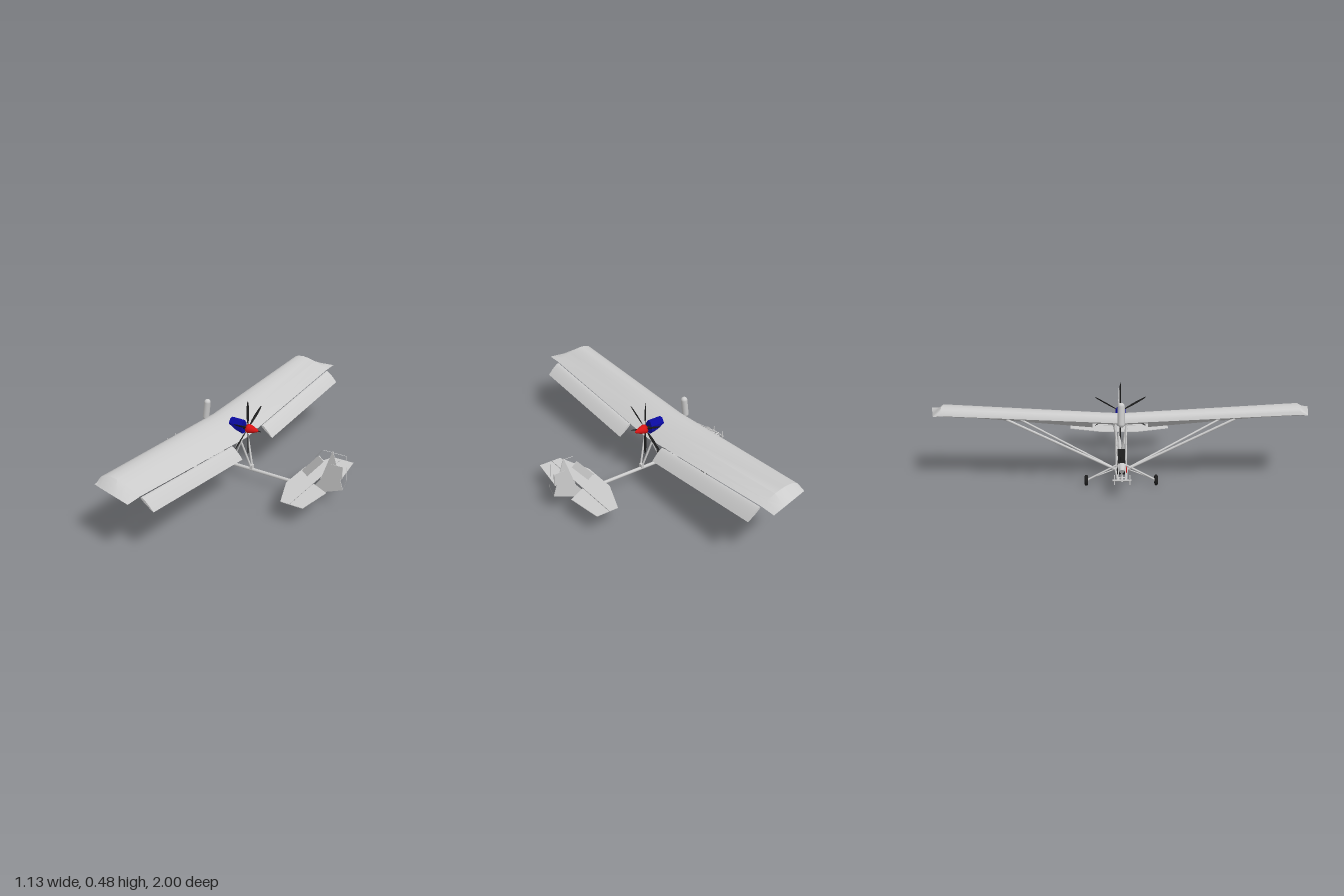
import * as THREE from 'three';
import { toCreasedNormals } from 'three/addons/utils/BufferGeometryUtils.js';

const V = (x, y, z) => new THREE.Vector3(x, y, z);
const mat = (color, side = THREE.FrontSide) => new THREE.MeshStandardMaterial({ color, side });

export function createModel() {
  const model = new THREE.Group();
  const grey = mat(0xcccccc), sheet = mat(0xcccccc, THREE.DoubleSide);
  const black = mat(0x1c1c1c), red = mat(0xd81414), blue = mat(0x0a0aa0);

  const add = (name, geo, material = grey, x = 0, y = 0, z = 0, parent = model) => {
    const m = new THREE.Mesh(geo, material);
    m.name = name;
    m.position.set(x, y, z);
    parent.add(m);
    return m;
  };
  const box = (w, h, d) => new THREE.BoxGeometry(w, h, d);
  // straight tube between two points
  const rod = (name, a, b, r, material = grey, parent = model) => {
    const m = add(name, new THREE.CylinderGeometry(r, r, a.distanceTo(b), 10), material, 0, 0, 0, parent);
    m.position.copy(a).add(b).multiplyScalar(0.5);
    m.quaternion.setFromUnitVectors(V(0, 1, 0), b.clone().sub(a).normalize());
    return m;
  };

  // airfoil skin through stations: leading edge, trailing edge, bulge above and below
  const us = [1, 0.85, 0.65, 0.45, 0.3, 0.17, 0.08, 0.025, 0];
  const bulge = u => 2.6 * Math.sqrt(u) * (1 - u);
  const airfoil = (name, stations) => {
    const ring = [...us.map(u => [u, 1]), ...us.slice(0, -1).reverse().map(u => [u, -1])];
    const pos = [], idx = [], n = ring.length;
    stations.forEach(({ le, te, top, bot }, j) => {
      ring.forEach(([u, s], i) => {
        const p = V(...le).lerp(V(...te), u);
        pos.push(p.x, p.y + bulge(u) * (s > 0 ? top : -bot), p.z);
        if (j && i < n - 1) {
          const a = (j - 1) * n + i, c = a + n;
          idx.push(a, a + 1, c, a + 1, c + 1, c);
        }
      });
    });
    const g = new THREE.BufferGeometry();
    g.setAttribute('position', new THREE.Float32BufferAttribute(pos, 3));
    g.setIndex(idx);
    return add(name, toCreasedNormals(g, 0.6), sheet);
  };
  const station = (z, le, te, top, bot, zTe = z) => ({ le: [...le, z], te: [...te, zTe], top, bot });

  // main wing with raked tips
  const tip = s => station(s * 0.947, [-0.285, 0.355], [-0.045, 0.345], 0.001, 0.001, s * 0.998);
  const outer = s => station(s * 0.91, [-0.285, 0.36], [-0.045, 0.345], 0.044, 0.008);
  airfoil('wing', [tip(-1), outer(-1), station(0, [-0.285, 0.318], [-0.045, 0.265], 0.052, 0.01), outer(1), tip(1)]);

  // drooped flaps behind the wing
  for (const s of [-1, 1]) {
    const root = t => station(s * 0.15, [-0.047, 0.272], [0.022, 0.215], t, t * 0.4);
    const end = t => station(s * 0.905, [-0.047, 0.335], [0.025, 0.28], t, t * 0.4);
    const list = [root(0), root(0.012), end(0.012), end(0)];
    airfoil('flap', s > 0 ? list : list.reverse());
  }

  // engine, spinner and six-blade propeller
  const engine = add('engine', new THREE.CylinderGeometry(0.036, 0.036, 0.08, 8), blue, -0.105, 0.322, 0);
  engine.geometry.rotateY(Math.PI / 8).rotateZ(Math.PI / 2).scale(1, 1.1, 0.78);
  engine.material.flatShading = true;
  const spinner = add('spinner', new THREE.LatheGeometry(
    [[0, 0], [0.024, 0], [0.025, 0.012], [0.018, 0.038], [0.008, 0.062], [0, 0.072]].map(p => new THREE.Vector2(...p)), 20), red, -0.043, 0.32, 0);
  spinner.rotation.z = -Math.PI / 2;
  rod('propellerShaft', V(-0.07, 0.32, 0), V(-0.04, 0.32, 0), 0.01, black);
  const prop = new THREE.Group();
  prop.name = 'propeller';
  prop.position.set(-0.04, 0.32, 0);
  model.add(prop);
  for (let i = 0; i < 6; i++) {
    const pivot = new THREE.Group();
    pivot.rotation.x = i * Math.PI / 3;
    prop.add(pivot);
    const blade = new THREE.SphereGeometry(1, 10, 10).scale(0.007, 0.068, 0.0025);
    add('blade', blade, black, 0, 0.09, 0, pivot).rotation.y = 0.6;
  }

  // streamlined tank ahead of the leading edge
  add('tank', new THREE.CapsuleGeometry(0.018, 0.09, 6, 16), grey, -0.307, 0.367, 0).rotation.z = -0.13;

  // tail boom and nose frame
  rod('tailBoom', V(-0.32, 0.078, 0), V(0.36, 0.078, 0), 0.0095);
  rod('keel', V(-0.565, 0.108, 0), V(-0.3, 0.08, 0), 0.006);
  for (const s of [-1, 1]) {
    rod('sideRail', V(-0.55, 0.108, s * 0.02), V(-0.3, 0.082, s * 0.03), 0.005);
    rod('rearRail', V(-0.3, 0.08, s * 0.03), V(-0.13, 0.082, s * 0.012), 0.004);
    rod('footPeg', V(-0.56, 0.085, s * 0.037), V(-0.56, 0.135, s * 0.037), 0.003);
    rod('noseCable', V(-0.56, 0.112, s * 0.015), V(-0.28, 0.312, s * 0.03), 0.002);
  }
  rod('rudderBar', V(-0.56, 0.108, -0.045), V(-0.56, 0.108, 0.045), 0.004);
  for (const x of [-0.48, -0.33, -0.2]) rod('crossTube', V(x, 0.095, -0.028), V(x, 0.095, 0.028), 0.004);

  // instrument pod, control sticks and seats
  const pod = add('instrumentPod', new THREE.CylinderGeometry(0.024, 0.012, 0.035, 14), grey, -0.493, 0.145, 0);
  pod.rotation.z = -1.05;
  rod('podPost', V(-0.49, 0.098, 0), V(-0.493, 0.14, 0), 0.003);
  rod('frontStick', V(-0.46, 0.1, 0), V(-0.453, 0.16, 0), 0.002, black);
  rod('throttle', V(-0.41, 0.097, 0.025), V(-0.405, 0.132, 0.025), 0.002, red);
  rod('rearStick', V(-0.29, 0.085, 0), V(-0.285, 0.14, 0), 0.002, black);
  for (const [x, y] of [[-0.405, 0.098], [-0.185, 0.092]]) {
    const seat = new THREE.Group();
    seat.name = 'seat';
    seat.position.set(x, y, 0);
    model.add(seat);
    add('seatBase', box(0.05, 0.009, 0.046), black, 0, 0, 0, seat).rotation.z = -0.1;
    add('seatBack', box(0.009, 0.058, 0.046), black, 0.036, 0.021, 0, seat).rotation.z = -0.62;
  }

  // wing struts, cabane and engine supports
  for (const s of [-1, 1]) {
    rod('frontWingStrut', V(-0.312, 0.085, s * 0.03), V(-0.265, 0.335, s * 0.58), 0.0065);
    rod('rearWingStrut', V(-0.305, 0.085, s * 0.03), V(-0.07, 0.312, s * 0.58), 0.0055);
    rod('frontCabane', V(-0.31, 0.085, s * 0.025), V(-0.265, 0.31, s * 0.025), 0.005);
    rod('seatBrace', V(-0.15, 0.085, s * 0.012), V(-0.07, 0.28, s * 0.03), 0.003);
    rod('armRail', V(-0.288, 0.192, s * 0.026), V(-0.2, 0.18, s * 0.026), 0.002);
    rod('engineSupport', V(-0.018, 0.1, s * 0.008), V(-0.07, 0.28, s * 0.04), 0.0055);
  }
  add('supportBracket', box(0.016, 0.022, 0.022), grey, -0.016, 0.094, 0);

  // main wheels on splayed legs, small tail wheel
  const wheel = (name, x, y, z, r, w) => {
    const g = new THREE.Group();
    g.name = name;
    g.position.set(x, y, z);
    model.add(g);
    add('tyre', new THREE.TorusGeometry(r - w / 2, w / 2, 10, 24), black, 0, 0, 0, g);
    add('rim', new THREE.CylinderGeometry(r * 0.55, r * 0.55, w * 0.5, 16).rotateX(Math.PI / 2), black, 0, 0, 0, g);
    add('hub', new THREE.CylinderGeometry(r * 0.28, r * 0.28, w * 1.1, 12).rotateX(Math.PI / 2), grey, 0, 0, 0, g);
  };
  for (const s of [-1, 1]) {
    wheel('mainWheel', -0.318, 0.028, s * 0.178, 0.028, 0.018);
    rod('gearLeg', V(-0.31, 0.105, s * 0.025), V(-0.318, 0.03, s * 0.172), 0.005);
    rod('gearBrace', V(-0.27, 0.08, s * 0.01), V(-0.318, 0.035, s * 0.165), 0.003);
    rod('tailFork', V(0.342, 0.072, s * 0.006), V(0.36, 0.036, s * 0.009), 0.003);
  }
  wheel('tailWheel', 0.36, 0.035, 0, 0.015, 0.011);

  // flat tail surfaces
  const plate = (name, pts, depth) => add(name, new THREE.ExtrudeGeometry(
    new THREE.Shape(pts.map(p => new THREE.Vector2(...p))), { depth, bevelEnabled: false }).translate(0, 0, -depth / 2), sheet);
  for (const s of [-1, 1]) {
    const halves = {
      stabilizer: [[0.26, 0], [0.26, 0.1], [0.333, 0.283], [0.384, 0.283], [0.384, 0]],
      elevator: [[0.387, 0.035], [0.387, 0.283], [0.46, 0.283], [0.488, 0.085]],
    };
    for (const [name, pts] of Object.entries(halves)) {
      const m = plate(name, pts.map(([x, z]) => [x, s * z]), 0.003);
      m.rotation.x = Math.PI / 2;
      m.position.y = 0.123;
    }
  }
  plate('rudder', [[0.473, 0.325], [0.54, 0.115], [0.39, 0.055], [0.363, 0.08], [0.402, 0.13], [0.41, 0.143]], 0.004);
  plate('finPanel', [[0.298, 0.163], [0.394, 0.277], [0.425, 0.25], [0.331, 0.136]], 0.005);
  plate('rudderPanel', [[0.461, 0.178], [0.533, 0.178], [0.533, 0.248], [0.461, 0.248]], 0.007);

  // thin edge band around the fin
  const edge = [[0.27, 0.125], [0.415, 0.315], [0.55, 0.315], [0.56, 0.18], [0.54, 0.115]];
  edge.slice(1).forEach(([x, y], i) => {
    const [px, py] = edge[i];
    const band = add('finEdge', new THREE.PlaneGeometry(Math.hypot(x - px, y - py), 0.004).rotateX(-Math.PI / 2),
      sheet, (x + px) / 2, (y + py) / 2, 0);
    band.rotation.z = Math.atan2(y - py, x - px);
  });
  return model;
}
